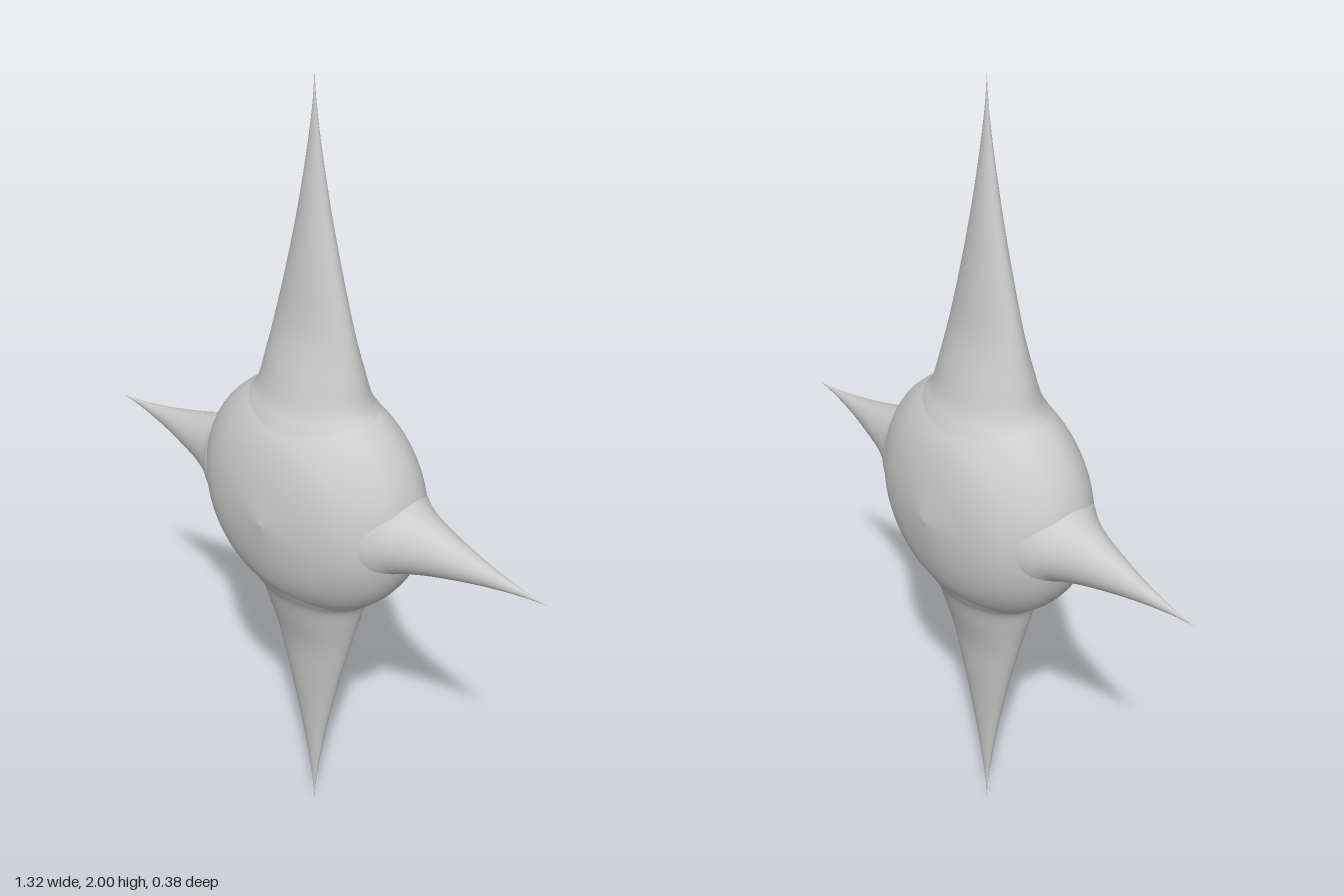
import * as THREE from 'three';

const material = new THREE.MeshStandardMaterial({ color: 0xcccccc, side: THREE.DoubleSide });

// Smooth loft of elliptical sections along +y; each station is [y, half width x, half depth z]
function loft(stations, rows, sides = 64) {
  const curve = new THREE.CatmullRomCurve3(stations.map(s => new THREE.Vector3(...s)));
  const positions = [], index = [];
  for (let i = 0; i <= rows; i++) {
    const p = curve.getPoint(i / rows);
    for (let j = 0; j < sides; j++) {
      const t = (j / sides) * Math.PI * 2;
      positions.push(Math.max(p.y, 0) * Math.cos(t), p.x, Math.max(p.z, 0) * Math.sin(t));
    }
  }
  for (let i = 0; i < rows; i++) {
    for (let j = 0; j < sides; j++) {
      const a = i * sides + j, b = i * sides + (j + 1) % sides;
      index.push(a, a + sides, b, b, a + sides, b + sides);
    }
  }
  const geometry = new THREE.BufferGeometry();
  geometry.setAttribute('position', new THREE.Float32BufferAttribute(positions, 3));
  geometry.setIndex(index);
  geometry.computeVertexNormals();
  return geometry;
}

// Lens-shaped core: half profile as [z, radius], mirrored front to back
const coreHalf = [[0, 0.3], [0.04, 0.295], [0.075, 0.278], [0.11, 0.247], [0.143, 0.2], [0.165, 0.142], [0.18, 0.07], [0.19, 0]];

// Spikes: [distance from centre, half width, half depth]
const longSpike = [
  [0.15, 0.2, 0.15], [0.2, 0.2, 0.14], [0.235, 0.18, 0.123], [0.27, 0.15, 0.105], [0.34, 0.13, 0.083],
  [0.43, 0.108, 0.058], [0.55, 0.077, 0.042], [0.7, 0.043, 0.025], [0.85, 0.016, 0.01], [0.94, 0.004, 0.003], [1, 0, 0],
];
const shortSpike = [
  [0.2, 0.15, 0.135], [0.25, 0.12, 0.112], [0.285, 0.09, 0.09], [0.34, 0.07, 0.064],
  [0.42, 0.046, 0.041], [0.5, 0.026, 0.022], [0.58, 0.01, 0.008], [0.63, 0.003, 0.002], [0.66, 0, 0],
];

export function createModel() {
  const group = new THREE.Group();
  group.name = 'fourPointedStar';

  const add = (name, geometry) => {
    const mesh = new THREE.Mesh(geometry, material);
    mesh.name = name;
    mesh.position.y = 1;
    group.add(mesh);
  };

  // Core
  const back = coreHalf.slice(1).reverse().map(([z, r]) => [-z, r, r]);
  const front = coreHalf.map(([z, r]) => [z, r, r]);
  add('core', loft([...back, ...front], 56).rotateX(Math.PI / 2));

  // Four tapering points
  add('topSpike', loft(longSpike, 60));
  add('bottomSpike', loft(longSpike, 60).rotateZ(Math.PI));
  add('leftSpike', loft(shortSpike, 48).rotateZ(-Math.PI / 2));
  add('rightSpike', loft(shortSpike, 48).rotateZ(Math.PI / 2));

  return group;
}
